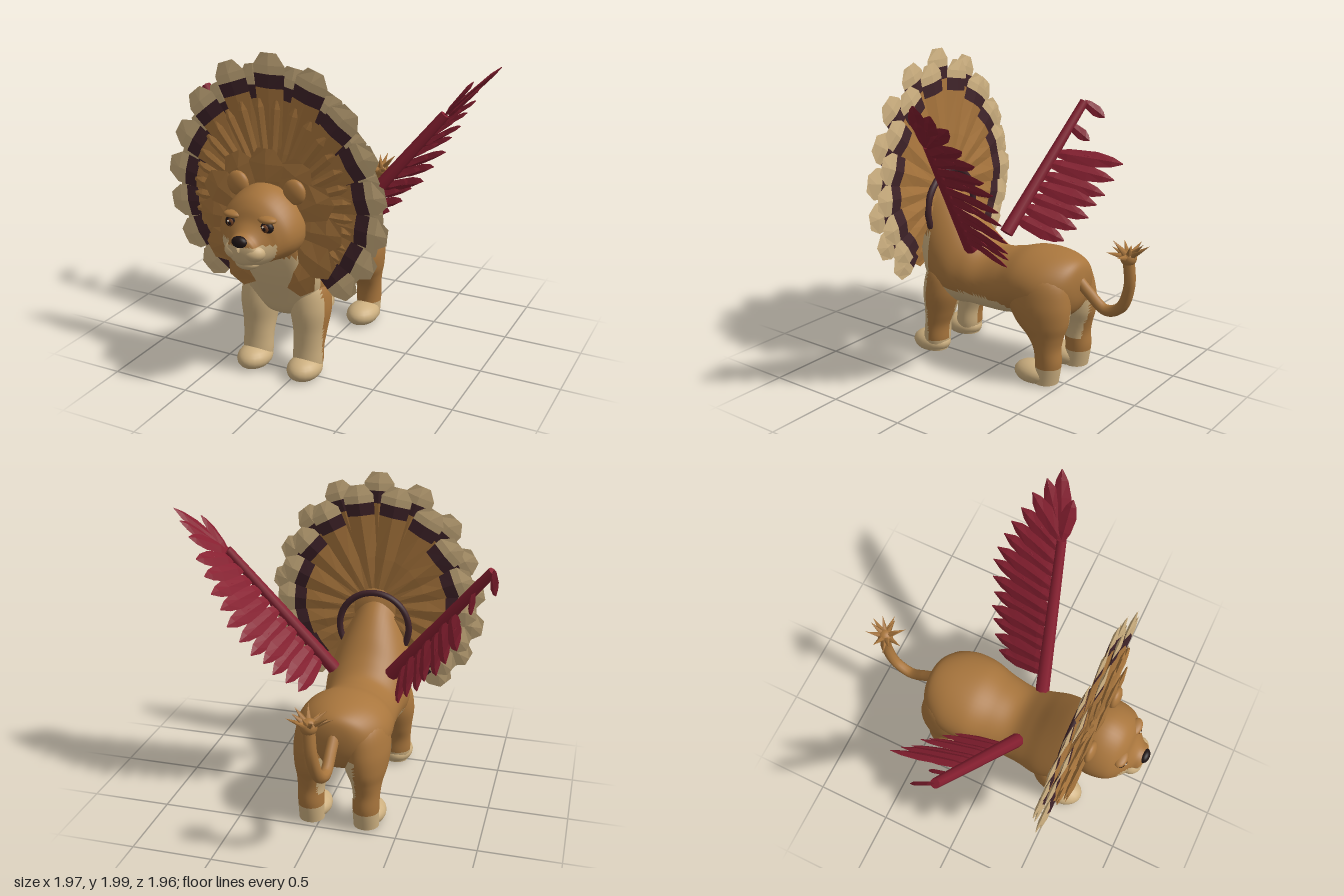
import * as THREE from 'three';

const mat = (name, color) => { const m = new THREE.MeshStandardMaterial({ color }); m.name = name; return m; };
const brown = mat('golden brown fur', 0xa9763d), tan = mat('cream fur', 0xcdb080), dark = mat('dark band', 0x3f2329);
const red = mat('crimson feather', 0x861f30), black = mat('nose black', 0x1e1414), iris = mat('eye brown', 0x6b3d20);
const white = mat('eye glint', 0xe8e0d0);
const V = (x, y, z) => new THREE.Vector3(x, y, z);

function add(parent, name, geo, material, pos = [0, 0, 0], scale = [1, 1, 1]) {
  const m = new THREE.Mesh(geo, material);
  m.name = name;
  m.position.set(...pos);
  m.scale.set(...scale);
  parent.add(m);
  return m;
}
const blob = (parent, name, material, pos, scale) =>
  add(parent, name, new THREE.SphereGeometry(1, 24, 16), material, pos, scale);

// Catmull-Rom subdivision of a table of section rows
function smooth(rows, n) {
  const out = [], last = rows.length - 1;
  for (let i = 0; i < last; i++) {
    const [a, b, c, d] = [rows[Math.max(0, i - 1)], rows[i], rows[i + 1], rows[Math.min(last, i + 2)]];
    for (let s = 0; s < n; s++) {
      const t = s / n;
      out.push(b.map((v, k) => v + 0.5 * t * (c[k] - a[k] + t * (2 * a[k] - 5 * v + 4 * c[k] - d[k]
        + t * (3 * (v - c[k]) + d[k] - a[k])))));
    }
  }
  return [...out, rows[last]];
}

// Skin over elliptic sections [t, cx, c, rx, r, egg]; z rows ascend, y rows descend
function loft(rows, n, axis) {
  const pos = [], idx = [];
  rows.forEach(([t, cx, c, rx, r, egg = 0], j) => {
    for (let i = 0; i < n; i++) {
      const a = i / n * Math.PI * 2, x = cx + rx * Math.cos(a) * (1 - egg * Math.sin(a)), o = c + r * Math.sin(a);
      pos.push(...(axis === 'z' ? [x, o, t] : [x, t, o]));
      if (j < rows.length - 1) {
        const p = j * n + i, q = j * n + (i + 1) % n;
        idx.push(p, q, q + n, p, q + n, p + n);
      }
    }
  });
  const g = new THREE.BufferGeometry();
  g.setAttribute('position', new THREE.Float32BufferAttribute(pos, 3));
  g.setIndex(idx);
  g.computeVertexNormals();
  return g;
}

// Sort triangles into material groups by a rule on their centres
function paint(g, count, rule) {
  const p = g.attributes.position, src = g.index.array, bins = Array.from({ length: count }, () => []);
  for (let i = 0; i < src.length; i += 3) {
    const f = [src[i], src[i + 1], src[i + 2]], c = V(0, 0, 0);
    f.forEach(k => c.add(V(p.getX(k), p.getY(k), p.getZ(k)).divideScalar(3)));
    bins[rule(c)].push(...f);
  }
  g.setIndex(bins.flat());
  let start = 0;
  bins.forEach((b, k) => { g.addGroup(start, b.length, k); start += b.length; });
  return g;
}
function facet(g) {
  const f = g.toNonIndexed();
  f.groups = g.groups.map(o => ({ ...o }));
  f.computeVertexNormals();
  return f;
}
// Ridged feather from [height, half width] pairs, tip first
const feather = (pts, thick) =>
  loft(pts.map(([y, w], i) => [y, 0, 0, w, i === 0 || i === pts.length - 1 ? 0.002 : thick]), 4, 'y');

// Stand a mesh built along +y at P, pointing at Q, ridge facing n
function aim(mesh, P, Q, n) {
  const y = Q.clone().sub(P).normalize(), x = y.clone().cross(n).normalize(), z = x.clone().cross(y);
  mesh.quaternion.setFromRotationMatrix(new THREE.Matrix4().makeBasis(x, y, z));
  mesh.position.copy(P);
  return mesh;
}
const rowZ = ([z, top, bot, w, egg]) => [z, 0, (top + bot) / 2, w, (top - bot) / 2, egg];

function buildBody(g) {
  const torso = [[-0.55, 0.67, 0.65, 0.005, 0], [-0.53, 0.76, 0.52, 0.13, 0], [-0.47, 0.805, 0.43, 0.22, 0],
    [-0.35, 0.83, 0.39, 0.285, 0], [-0.2, 0.83, 0.39, 0.29, 0], [-0.05, 0.79, 0.365, 0.265, 0.05],
    [0.1, 0.775, 0.36, 0.25, 0.1], [0.22, 0.86, 0.36, 0.26, 0.15], [0.33, 0.98, 0.35, 0.275, 0.25],
    [0.43, 1.08, 0.36, 0.265, 0.28], [0.52, 1.15, 0.4, 0.24, 0.25], [0.58, 1.19, 0.52, 0.205, 0.15],
    [0.65, 1.18, 0.7, 0.17, 0.05], [0.7, 1.0, 0.9, 0.01, 0]];
  add(g, 'torso', paint(loft(smooth(torso.map(rowZ), 6), 48, 'z'), 2, c =>
    (c.z > 0.48 && c.y < 0.83) || (c.z > -0.3 && c.y < 0.5 + 0.35 * Math.min(0, c.z + 0.05)) ? 1 : 0), [brown, tan]);
  for (const s of [-1, 1]) {
    const front = [[0.68, 0.13, 0.42, 0.02, 0.03], [0.6, 0.155, 0.42, 0.11, 0.11], [0.45, 0.17, 0.43, 0.128, 0.13],
      [0.3, 0.175, 0.45, 0.107, 0.1], [0.2, 0.175, 0.47, 0.098, 0.082], [0.1, 0.175, 0.48, 0.096, 0.085],
      [0.02, 0.175, 0.49, 0.08, 0.08]];
    const hind = [[0.78, 0.12, -0.3, 0.02, 0.03], [0.7, 0.13, -0.3, 0.13, 0.19], [0.55, 0.15, -0.32, 0.148, 0.215],
      [0.42, 0.16, -0.35, 0.132, 0.185], [0.33, 0.17, -0.385, 0.1, 0.125], [0.25, 0.175, -0.405, 0.085, 0.09],
      [0.15, 0.175, -0.415, 0.082, 0.085], [0.02, 0.175, -0.4, 0.08, 0.08]];
    const side = rows => loft(smooth(rows.map(([y, x, ...r]) => [y, x * s, ...r]), 6), 32, 'y');
    add(g, 'frontLeg', paint(side(front), 2, c =>
      c.z > 0.48 || c.y < 0.1 || c.x * s < 0.16 ? 1 : 0), [brown, tan]);
    add(g, 'hindLeg', paint(side(hind), 2, c =>
      c.y < 0.13 || (c.x * s < 0.12 && c.y > 0.22 && c.y < 0.5) ? 1 : 0), [brown, tan]);
    for (const [z, len] of [[0.525, 0.135], [-0.315, 0.14]]) {
      const paw = new THREE.SphereGeometry(1, 20, 14), p = paw.attributes.position;
      for (let i = 0; i < p.count; i++) p.setY(i, Math.max(-0.75, p.getY(i)));
      paw.computeVertexNormals();
      add(g, 'paw', paw, tan, [0.175 * s, 0.065, z], [0.105, 0.075, len]);
    }
  }
  // Tail with a spiky tuft
  const path = [V(0, 0.68, -0.5), V(0, 0.6, -0.59), V(0, 0.515, -0.71), V(0.01, 0.56, -0.82), V(0.03, 0.72, -0.885),
    V(0.045, 0.9, -0.88)];
  add(g, 'tail', new THREE.TubeGeometry(new THREE.CatmullRomCurve3(path), 30, 0.036, 10), brown);
  blob(g, 'tuftBase', brown, [0.045, 0.9, -0.88], [0.05, 0.05, 0.05]);
  for (let i = 0; i < 12; i++) {
    const a = i * 2.4, up = 0.25 + 0.75 * (i % 3) / 2, d = V(Math.cos(a), up, Math.sin(a)).normalize();
    const cone = new THREE.ConeGeometry(0.027, 0.14, 5).translate(0, 0.07, 0), P = V(0.045, 0.9, -0.88);
    aim(add(g, 'tuftSpike', cone, brown), P, P.clone().add(d), V(0.31, 0.2, -0.9));
  }
}

function buildHead(g) {
  const rows = [[0.5, 1.1, 1.0, 0.02, 0], [0.55, 1.23, 0.86, 0.19, 0.1], [0.62, 1.26, 0.82, 0.24, 0.15],
    [0.7, 1.26, 0.82, 0.245, 0.18], [0.78, 1.225, 0.84, 0.225, 0.2], [0.83, 1.17, 0.84, 0.185, 0.2],
    [0.86, 1.1, 0.84, 0.15, 0.15], [0.9, 1.055, 0.85, 0.105, 0.1], [0.94, 1.035, 0.88, 0.08, 0],
    [0.96, 1.0, 0.95, 0.01, 0]];
  add(g, 'head', paint(loft(smooth(rows.map(rowZ), 5), 40, 'z'), 2, c =>
    c.z > 0.84 && c.y < 0.985 ? 1 : 0), [brown, tan]);
  blob(g, 'chin', tan, [0, 0.862, 0.865], [0.075, 0.042, 0.06]);
  blob(g, 'mouth', black, [0, 0.892, 0.885], [0.07, 0.008, 0.055]);
  blob(g, 'nose', black, [0, 1.01, 0.945], [0.048, 0.034, 0.03]);
  for (const s of [-1, 1]) {
    blob(g, 'muzzle', tan, [0.052 * s, 0.938, 0.885], [0.075, 0.056, 0.068]);
    blob(g, 'ear', brown, [0.185 * s, 1.235, 0.645], [0.07, 0.075, 0.035]);
    blob(g, 'eyeRim', black, [0.112 * s, 1.075, 0.835], [0.043, 0.036, 0.026]);
    blob(g, 'iris', iris, [0.112 * s, 1.075, 0.848], [0.026, 0.026, 0.018]);
    blob(g, 'pupil', black, [0.112 * s, 1.075, 0.858], [0.013, 0.014, 0.01]);
    blob(g, 'eyeGlint', white, [0.112 * s - 0.01, 1.086, 0.863], [0.006, 0.006, 0.005]);
    blob(g, 'brow', brown, [0.11 * s, 1.118, 0.825], [0.06, 0.022, 0.038]);
  }
}

// Fan of feathers round the neck
function buildFan(g, name, { y, z, count, spread, radius, shape, thick, banded }) {
  const fan = new THREE.Group();
  fan.name = name;
  fan.position.set(0, y, z);
  fan.rotation.x = 0.03;
  g.add(fan);
  for (let i = 0; i < count; i++) {
    const a = (i / (count - 1) * 2 - 1) * spread, R = radius(Math.cos(a));
    const geo = paint(feather(shape(R), thick), 3, c => !banded ? 0 : c.y > R - 0.12 ? 2 : c.y > R - 0.2 ? 1 : 0);
    const m = add(fan, 'maneFeather', facet(geo), [brown, dark, tan], [0, 0, i % 2 * 0.008]);
    m.rotation.z = -a;
  }
}
function buildMane(g) {
  const outer = c => 0.725 + 0.175 * Math.max(0, c) ** 3 + 0.04 * Math.min(0, c);
  const long = R => [[R, 0.05], [R - 0.07, 0.1], [R - 0.12, 0.098], [R - 0.2, 0.09], [0.35, 0.065], [0.14, 0.03]];
  const big = { y: 1.1, shape: long, thick: 0.014, banded: true };
  buildFan(g, 'maneBack', { ...big, z: 0.505, count: 14, spread: 2.19, radius: c => outer(c) * 0.93 });
  buildFan(g, 'maneMiddle', { ...big, z: 0.55, count: 15, spread: 2.36, radius: outer });
  buildFan(g, 'maneQuills', { y: 1.1, z: 0.585, count: 26, spread: 2.3, thick: 0.012,
    radius: c => outer(c) * 0.72, shape: R => [[R, 0.012], [R - 0.05, 0.03], [0.35, 0.025], [0.14, 0.01]] });
  buildFan(g, 'maneFront', { y: 1.0, z: 0.615, count: 11, spread: 2.6, thick: 0.016, radius: () => 0.465,
    shape: R => [[R, 0.055], [R - 0.09, 0.115], [R - 0.19, 0.085], [0.13, 0.04]] });
  const collar = add(g, 'collar', new THREE.TorusGeometry(0.235, 0.022, 8, 40, Math.PI * 1.3), dark, [0, 0.98, 0.49]);
  collar.rotation.z = -0.15 * Math.PI;
}

// Wing along a straight arm; the right one has lost its outer feathers
function buildWing(g, s) {
  const wing = new THREE.Group();
  wing.name = s > 0 ? 'leftWing' : 'rightWing';
  g.add(wing);
  const root = V(0.19 * s, 0.79, 0.175), end = V(0.82 * s, 1.6, -0.02);
  const armLen = root.distanceTo(end), n = V(0.78 * s, -0.62, 0);
  const arm = new THREE.CylinderGeometry(0.03, 0.046, armLen, 8).translate(0, armLen / 2, 0);
  aim(add(wing, 'wingArm', arm, red), root, end, n);
  const tips = new THREE.CatmullRomCurve3([[1.1, 1.88, -0.16], [1.0, 1.8, -0.25], [0.9, 1.64, -0.32],
    [0.82, 1.5, -0.37], [0.74, 1.37, -0.4], [0.67, 1.23, -0.41], [0.58, 1.08, -0.36], [0.49, 0.99, -0.33],
    [0.41, 0.88, -0.28], [0.31, 0.78, -0.2]].map(([x, y, z]) => V(x * s, y, z)));
  const plume = (name, P, Q, w, lift) => {
    const L = P.distanceTo(Q);
    const geo = facet(feather([[L, 0.003], [L * 0.84, w * 0.65], [L * 0.6, w], [L * 0.2, w * 0.8], [0, w * 0.4]], 0.012));
    const off = n.clone().multiplyScalar(lift);
    aim(add(wing, name, geo, red), P.clone().add(off), Q.clone().add(off), n);
  };
  const count = 14;
  for (let i = s > 0 ? 0 : 7; i < count; i++) {
    const u = i / (count - 1), P = root.clone().lerp(end, Math.min(1, 1.18 - 1.06 * u)), Q = tips.getPoint(u);
    plume('flightFeather', P, Q, 0.058, i % 2 * 0.01);
    plume('covertFeather', P, P.clone().lerp(Q, 0.6).add(V(0, 0.02, 0)), 0.045, 0.022);
  }
  if (s > 0) plume('flightFeather', end, V(0.98, 1.81, -0.03), 0.05, 0);
  else {
    plume('shortFeather', end, V(-0.86, 1.5, -0.16), 0.04, 0);
    plume('shortFeather', root.clone().lerp(end, 0.82), V(-0.72, 1.36, -0.13), 0.04, 0);
  }
}

export function createModel() {
  const model = new THREE.Group(), beast = new THREE.Group();
  model.name = 'wingedLion';
  beast.name = 'body';
  beast.position.x = -0.12;
  model.add(beast);
  buildBody(beast);
  buildHead(beast);
  buildMane(beast);
  buildWing(beast, 1);
  buildWing(beast, -1);
  return model;
}
